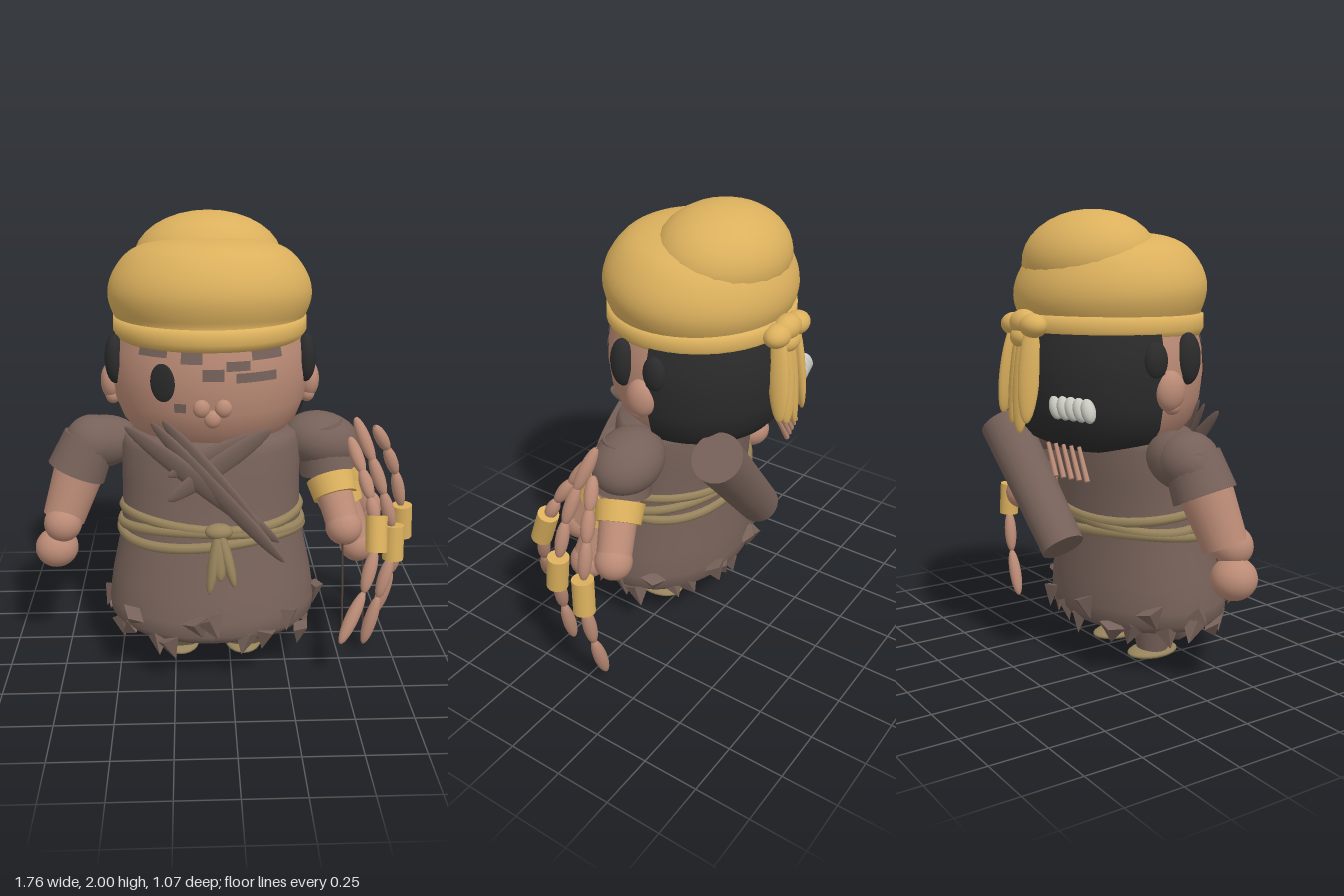
import * as THREE from 'three';

const mat = (name, color) => Object.assign(new THREE.MeshStandardMaterial({ color }), { name });
const V = (x, y, z) => new THREE.Vector3(x, y, z);
const CX = -0.08; // middle of the figure, arms and beads shift the bounds

export function createModel() {
  const root = new THREE.Group();
  const cloth = mat('brown cloth', 0x766159), skin = mat('skin', 0xbb8b76), gold = mat('golden cloth', 0xdbb05d);
  const black = mat('black hair', 0x2b2b2b), tan = mat('tan rope', 0x97835c), white = mat('bone white', 0xc8c8c0);
  const mark = mat('face paint', 0x75615a), string = mat('dark string', 0x4a3d35);
  for (const m of [cloth, skin, black, mark]) m.side = THREE.DoubleSide;

  let seed = 7;
  const rnd = () => (seed = (seed * 16807) % 2147483647) / 2147483647;
  const add = (name, geo, m, pos) => {
    const mesh = new THREE.Mesh(geo, m);
    mesh.name = name;
    if (pos) mesh.position.copy(pos);
    root.add(mesh);
    return mesh;
  };
  const ball = (name, m, p, rx, ry = rx, rz = rx) => {
    const b = add(name, new THREE.SphereGeometry(1, 24, 16), m, p);
    b.scale.set(rx, ry, rz);
    return b;
  };
  // aligns a y-long mesh with the line from p to q
  const aim = (mesh, p, q) => {
    mesh.position.copy(p).lerp(q, 0.5);
    mesh.quaternion.setFromUnitVectors(V(0, 1, 0), q.clone().sub(p).normalize());
    return mesh;
  };
  const rod = (name, m, p, q, r0, r1 = r0, sides = 20) =>
    aim(add(name, new THREE.CylinderGeometry(r1, r0, p.distanceTo(q), sides), m), p, q);
  const spindle = (name, m, p, q, r, rz = r) => aim(ball(name, m, p, r, p.distanceTo(q) / 2, rz), p, q);
  const lathe = (pts, seg = 48, a = 0, len = Math.PI * 2) =>
    new THREE.LatheGeometry(pts.map(([r, y]) => new THREE.Vector2(r, y)), seg, a, len);

  // Tunic: a lathe made oval and leaning forward toward the hem
  const profile = [[0.43, 0.205], [0.462, 0.24], [0.468, 0.3], [0.45, 0.42], [0.42, 0.56], [0.4, 0.7], [0.4, 0.85], [0.4, 1.0], [0.38, 1.05]];
  const radius = (y) => {
    for (let i = 1; i < profile.length; i++) {
      const [r0, y0] = profile[i - 1], [r1, y1] = profile[i];
      if (y <= y1) return r0 + (r1 - r0) * Math.max(0, (y - y0) / (y1 - y0));
    }
    return 0.38;
  };
  const shiftZ = (y) => 0.03 + (1.05 - y) * 0.11;
  const ovalZ = (y) => 0.675 + (1.05 - y) * 0.13;
  const onBody = (a, y, out = 0) =>
    V(CX + (radius(y) + out) * Math.sin(a), y, shiftZ(y) + (radius(y) * ovalZ(y) + out) * Math.cos(a));
  const tunic = lathe([[0.001, 0.2], [0.3, 0.19], ...profile, [0.2, 1.1]]);
  const tp = tunic.attributes.position;
  for (let i = 0; i < tp.count; i++) tp.setZ(i, shiftZ(tp.getY(i)) + tp.getZ(i) * ovalZ(tp.getY(i)));
  tunic.computeVertexNormals();
  add('tunic', tunic, cloth, V(CX, 0, 0));

  // Ragged hem: mostly tight to the cloth, some torn loose
  for (let i = 0; i < 28; i++) {
    const a = (i / 28) * Math.PI * 2 + rnd() * 0.12, y = i % 3 ? 0.17 + rnd() * 0.05 : 0.26 + rnd() * 0.04;
    const rag = add('hemRag', new THREE.ConeGeometry(0.06, 0.1, 4).toNonIndexed(), cloth, onBody(a, y, i % 4 ? 0.005 : 0.03));
    rag.geometry.computeVertexNormals();
    rag.rotation.set(Math.PI * (0.85 + rnd() * 0.3), a, (rnd() - 0.5) * 1.4, 'YXZ');
    rag.scale.z = 0.6;
  }

  // Rope belt with knot and loose ends
  for (let k = 0; k < 3; k++) {
    const pts = [];
    for (let i = 0; i < 24; i++) {
      const a = (i / 24) * Math.PI * 2;
      pts.push(onBody(a, 0.62 + k * 0.04 + 0.018 * Math.sin(a * 2 + k * 2), -0.006));
    }
    add('belt', new THREE.TubeGeometry(new THREE.CatmullRomCurve3(pts, true), 72, 0.024, 8, true), tan);
  }
  ball('beltKnot', tan, V(-0.055, 0.7, 0.39), 0.06, 0.035, 0.045);
  for (const [x, y] of [[-0.1, 0.44], [0.01, 0.47], [-0.05, 0.5]])
    spindle('beltEnd', tan, V(-0.055, 0.72, 0.4), V(x, y, 0.46), 0.032, 0.025);

  // Crossed pointed wraps on the chest
  for (const [p, q, r] of [
    [V(-0.45, 1.14, 0.28), V(0.2, 0.66, 0.42), 0.05], [V(-0.34, 1.16, 0.29), V(0.22, 0.58, 0.45), 0.045],
    [V(-0.29, 1.17, 0.3), V(0.12, 0.72, 0.42), 0.045], [V(0.17, 1.12, 0.28), V(-0.27, 0.83, 0.36), 0.05],
    [V(0.1, 1.1, 0.29), V(-0.27, 0.93, 0.33), 0.04]]) spindle('chestWrap', cloth, p, q, r, 0.016);

  // Head and the hair covering its back half
  const headProfile = [[0.22, 0.99], [0.33, 1.04], [0.39, 1.11], [0.425, 1.2], [0.44, 1.32], [0.432, 1.42], [0.41, 1.5]];
  const headR = (y) => {
    const i = Math.max(1, headProfile.findIndex((p) => p[1] >= y));
    const [r0, y0] = headProfile[i - 1], [r1, y1] = headProfile[i];
    return r0 + ((r1 - r0) * (y - y0)) / (y1 - y0);
  };
  const headAt = (geo, m, name, sz = 0.9) => add(name, geo, m, V(CX, 0, -0.045)).scale.set(1, 1, sz);
  headAt(lathe([[0.001, 0.98], ...headProfile]), skin, 'head');
  headAt(lathe([[0.001, 0.955], ...headProfile.map(([r, y]) => [r + (y < 1.15 ? 0.025 : 0.012), y - 0.01])], 32, Math.PI / 2 + 0.05, Math.PI - 0.1), black, 'hair', 0.95);

  // Painted face marks: x range and y range, wrapped round the head
  for (const [x0, x1, y0, y1] of [[-0.39, -0.27, 1.44, 1.47], [-0.21, -0.12, 1.42, 1.47], [-0.12, -0.03, 1.35, 1.4],
    [-0.02, 0.08, 1.39, 1.43], [0.09, 0.22, 1.43, 1.47], [0.02, 0.19, 1.34, 1.38], [-0.24, -0.19, 1.21, 1.25]]) {
    const a0 = Math.asin((x0 - CX) / 0.44), a1 = Math.asin((x1 - CX) / 0.44);
    headAt(lathe([[headR(y0) + 0.006, y0], [headR(y1) + 0.006, y1]], 8, a0, a1 - a0), mark, 'faceMark');
  }
  ball('eye', black, V(-0.285, 1.335, 0.306), 0.058, 0.082, 0.012).rotation.y = -0.47;
  for (const [x, y] of [[-0.125, 1.25], [-0.035, 1.25], [-0.08, 1.205]]) ball('nose', skin, V(x, y, 0.405), 0.036, 0.038, 0.028);

  // Ears and side tufts
  for (const s of [-1, 1]) {
    ball('ear', skin, V(CX + s * 0.44, 1.26, -0.035), 0.05, 0.085, 0.068);
    ball('earLobe', skin, V(CX + s * 0.435, 1.2, -0.02), 0.035, 0.04, 0.04);
    ball('sideTuft', black, V(CX + s * 0.415, 1.385, 0.075), 0.045, 0.108, 0.056);
    ball('sideTuft', black, V(CX + s * 0.43, 1.385, -0.1), 0.036, 0.078, 0.055);
  }

  // Wrapped headdress with knot and tails behind
  add('headdressBand', lathe([[0.37, 1.47], [0.41, 1.468], [0.428, 1.5], [0.425, 1.56], [0.3, 1.58]]), gold, V(CX, 0, -0.045)).scale.z = 0.95;
  const wrap = new THREE.SplineCurve([[0.001, -0.16], [0.36, -0.15], [0.415, -0.1], [0.447, 0], [0.42, 0.1], [0.34, 0.19], [0.2, 0.235], [0.001, 0.245]]
    .map(([x, y]) => new THREE.Vector2(x, y))).getPoints(40).map((p) => [Math.max(p.x, 0.001), p.y]);
  const hat = add('headdress', lathe(wrap), gold, V(CX, 1.65, -0.04));
  hat.scale.z = 0.915;
  hat.rotation.x = -0.09;
  ball('headdressTop', gold, V(-0.085, 1.785, -0.145), 0.33, 0.213, 0.278).rotation.x = -0.08;
  for (const [x, y, r] of [[-0.16, 1.52, 0.05], [0, 1.52, 0.05], [-0.08, 1.53, 0.055], [-0.08, 1.47, 0.05]]) ball('headdressKnot', gold, V(x, y, -0.465), r * 1.4, r, 0.055);
  for (const [x0, x1, y] of [[-0.15, -0.17, 1.12], [-0.1, -0.11, 1.07], [-0.05, -0.04, 1.1], [-0.01, 0.03, 1.14]])
    spindle('headdressTail', gold, V(x0, 1.54, -0.465), V(x1, y, -0.51), 0.046, 0.026);

  // Bone ornament and small sticks at the back of the hair
  for (let i = 0; i < 5; i++) {
    const x = -0.27 - i * 0.042, z = -0.42 + i * 0.012;
    spindle('boneBead', white, V(x + 0.025, 1.24, z), V(x - 0.03, 1.15, z - 0.01), 0.03);
    rod('stick', skin, V(x + 0.11, 1.03, z + 0.02), V(x + 0.03, 0.9, z + 0.01), 0.009, 0.012, 6);
  }

  // Rolled bundle on the back
  rod('backRoll', cloth, V(-0.15, 0.56, -0.325), V(0.29, 1.05, -0.37), 0.095, 0.112, 32);

  // Right arm
  spindle('sleeve', cloth, V(-0.4, 1.0, -0.02), V(-0.76, 0.96, -0.02), 0.12);
  ball('sleeve', cloth, V(-0.615, 0.985, -0.01), 0.125, 0.12, 0.13);
  rod('sleeve', cloth, V(-0.69, 0.85, 0.02), V(-0.625, 1.0, 0), 0.135, 0.12);
  rod('forearm', skin, V(-0.75, 0.65, 0.08), V(-0.67, 0.88, 0.03), 0.095, 0.115);
  ball('wrist', skin, V(-0.75, 0.64, 0.12), 0.085);
  ball('hand', skin, V(-0.785, 0.515, 0.1), 0.097, 0.09, 0.097);

  // Left sleeve with three fanned forearms and golden cuffs
  spindle('sleeve', cloth, V(0.25, 1.02, 0), V(0.6, 0.94, -0.02), 0.13, 0.15);
  rod('sleeve', cloth, V(0.46, 0.85, 0.01), V(0.41, 1.06, 0), 0.135, 0.11);
  const shoulder = V(0.44, 0.9, 0.01);
  for (const end of [V(0.51, 0.635, 0.2), V(0.59, 0.51, 0.1), V(0.65, 0.62, -0.09)]) {
    const d = end.clone().sub(shoulder).normalize().multiplyScalar(0.045);
    const mid = shoulder.clone().lerp(end, 0.43);
    rod('forearm', skin, end, shoulder, 0.075, 0.09);
    rod('cuff', gold, mid.clone().add(d), mid.clone().sub(d), 0.1, 0.11);
    ball('hand', skin, end, 0.082);
  }

  // Three bead strands, each with a golden barrel in the middle
  for (const pts of [
    [V(0.54, 1.02, 0.08), V(0.61, 0.82, 0.22), V(0.64, 0.64, 0.3), V(0.59, 0.42, 0.37), V(0.47, 0.19, 0.46)],
    [V(0.57, 1.1, 0.04), V(0.68, 0.82, 0.12), V(0.75, 0.53, 0.14), V(0.69, 0.3, 0.18), V(0.62, 0.04, 0.19)],
    [V(0.67, 1.04, -0.02), V(0.77, 0.85, -0.06), V(0.83, 0.55, -0.07), V(0.8, 0.3, -0.08), V(0.72, 0.05, -0.08)]]) {
    const c = new THREE.CatmullRomCurve3(pts);
    add('strandString', new THREE.TubeGeometry(c, 24, 0.007, 6), string);
    for (const [t0, t1] of [[0, 0.18], [0.15, 0.31], [0.29, 0.44], [0.57, 0.78], [0.77, 1]])
      spindle('strandBead', skin, c.getPoint(t0), c.getPoint(t1), 0.03);
    const m = c.getPoint(0.5), d = c.getTangent(0.5).multiplyScalar(0.08);
    rod('goldBarrel', gold, m.clone().sub(d), m.clone().add(d), 0.048);
  }
  rod('handString', string, V(0.5, 0.58, 0.25), V(0.48, 0.2, 0.45), 0.005, 0.005, 6);
  rod('handString', string, V(0.615, 0.45, 0.12), V(0.62, 0.05, 0.19), 0.005, 0.005, 6);

  // Feet: tilted brown boots with tan soles, over flat tan foot pads
  for (const s of [-1, 1]) {
    const x = CX + s * 0.145;
    rod('boot', cloth, V(x, 0.135, 0.27), V(x, 0.3, 0.12), 0.115, 0.115, 10);
    rod('bootSole', tan, V(x, 0.122, 0.282), V(x, 0.14, 0.265), 0.085, 0.085, 10);
    rod('leg', cloth, V(x, 0.03, 0.1), V(x, 0.2, 0.1), 0.07, 0.1);
    ball('bootWrap', tan, V(x, 0.115, 0.13), 0.08, 0.05, 0.09);
    ball('footPad', tan, V(x, 0.026, 0.1), 0.085, 0.026, 0.125);
  }
  return root;
}
